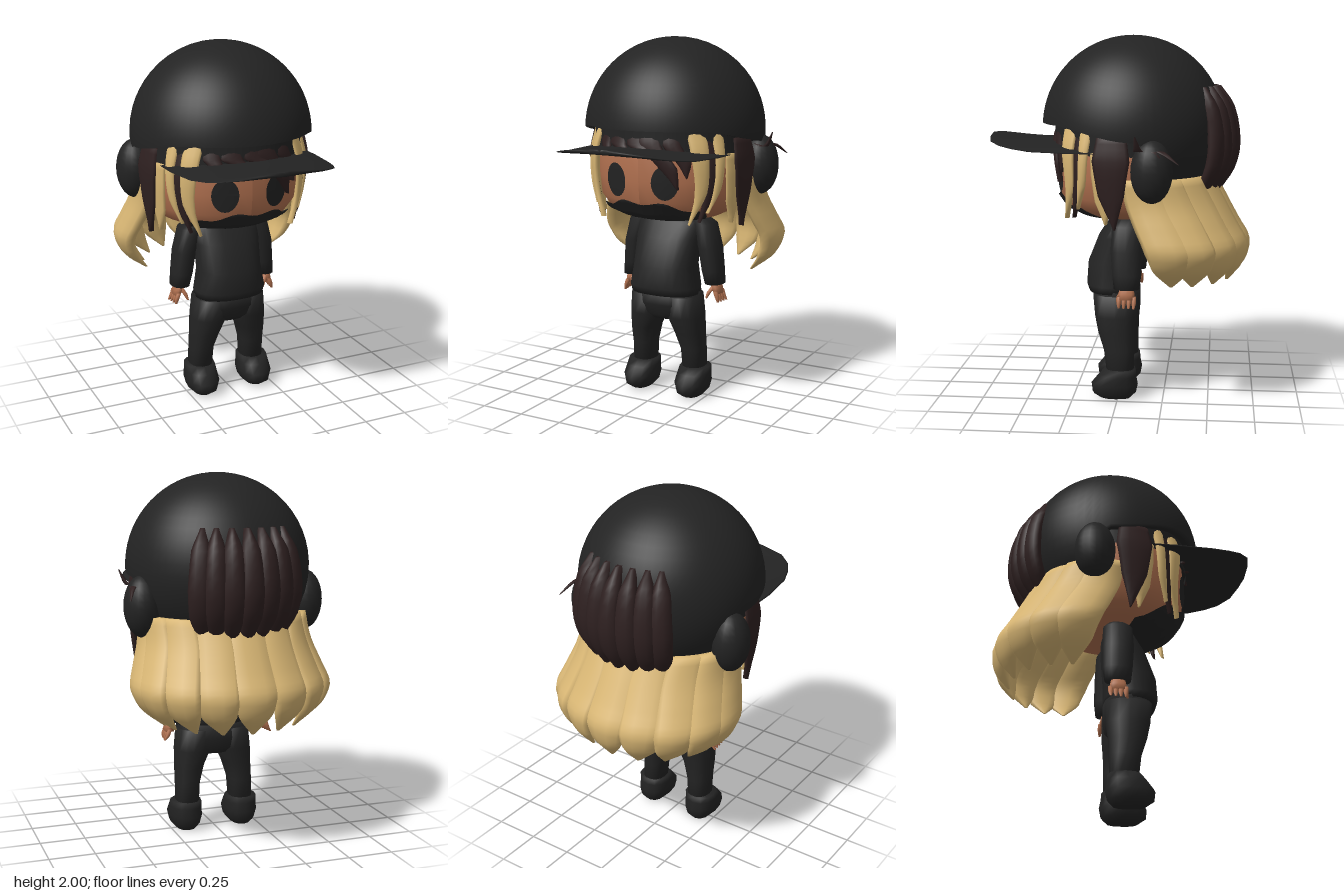
import * as THREE from 'three';
import { ParametricGeometry } from 'three/addons/geometries/ParametricGeometry.js';

const mat = (name, color) => Object.assign(new THREE.MeshStandardMaterial({ color, side: THREE.DoubleSide }), { name });
const black = mat('black cloth', 0x232323);
const brown = mat('dark brown hair', 0x2e2020);
const blond = mat('blond hair', 0xd8b674);
const skin = mat('skin', 0xb0704f);

const V = (x, y, z) => new THREE.Vector3(x, y, z);
const rad = THREE.MathUtils.degToRad;
const step = THREE.MathUtils.smoothstep;

// Skin elliptical sections { c, u, v } (centre and two half axes) into a closed form
function loft(sections, sides = 14, square = 1) {
  const pos = [], idx = [], n = sections.length;
  const pw = (t) => Math.sign(t) * Math.abs(t) ** square;
  for (const { c, u, v } of sections) {
    for (let i = 0; i < sides; i++) {
      const a = (i / sides) * Math.PI * 2;
      pos.push(...c.clone().addScaledVector(u, pw(Math.cos(a))).addScaledVector(v, pw(Math.sin(a))).toArray());
    }
  }
  pos.push(...sections[0].c.toArray(), ...sections[n - 1].c.toArray());
  // pick the winding so that faces look outward
  const { u, v } = sections[1];
  const along = sections[n - 1].c.clone().sub(sections[0].c);
  const flip = u.clone().cross(v).dot(along) < 0;
  const tri = (a, b, c) => (flip ? idx.push(a, c, b) : idx.push(a, b, c));
  for (let i = 0; i < sides; i++) {
    const j = (i + 1) % sides;
    for (let k = 0; k < n - 1; k++) {
      const a = k * sides, b = a + sides;
      tri(a + i, a + j, b + j);
      tri(a + i, b + j, b + i);
    }
    tri(n * sides, j, i);
    tri(n * sides + 1, (n - 1) * sides + i, (n - 1) * sides + j);
  }
  const g = new THREE.BufferGeometry();
  g.setAttribute('position', new THREE.Float32BufferAttribute(pos, 3));
  g.setIndex(idx);
  g.computeVertexNormals();
  return g;
}

// Horizontal sections [x, y, z, rx, rz]
const limb = (rows, sides = 14, square = 0.85) =>
  loft(rows.map(([x, y, z, rx, rz]) => ({ c: V(x, y, z), u: V(rx, 0, 0), v: V(0, 0, rz) })), sides, square);

// Hair lock facing a compass angle (0 = front, 90 = left); rows [point, halfWidth, halfThickness]
function lock(rows, angle, smooth = 12) {
  const path = new THREE.CatmullRomCurve3(rows.map((r) => r[0]));
  const out = V(Math.sin(angle), 0, Math.cos(angle)), side = V(Math.cos(angle), 0, -Math.sin(angle));
  const sections = [];
  for (let i = 0; i <= smooth; i++) {
    const f = (i / smooth) * (rows.length - 1), k = Math.min(Math.floor(f), rows.length - 2);
    const mix = (j) => THREE.MathUtils.lerp(rows[k][j], rows[k + 1][j], f - k);
    sections.push({ c: path.getPoint(i / smooth), u: side.clone().multiplyScalar(mix(1)), v: out.clone().multiplyScalar(mix(2)) });
  }
  return loft(sections, 10);
}

// Head profile [y, radius factor] and the point on its surface
const profile = [[0.985, 0], [1, 0.32], [1.03, 0.65], [1.07, 0.85], [1.14, 0.97], [1.25, 1], [1.42, 1], [1.6, 0.85]];
function headPoint(a, y, off = 0) {
  let k = 0;
  while (k < profile.length - 2 && y > profile[k + 1][0]) k++;
  const [y0, r0] = profile[k], [y1, r1] = profile[k + 1];
  const r = THREE.MathUtils.lerp(r0, r1, THREE.MathUtils.clamp((y - y0) / (y1 - y0), 0, 1));
  return V(Math.sin(a) * (0.42 * r + off), y, -0.05 + Math.cos(a) * (0.39 * r + off));
}

export function createModel() {
  const model = new THREE.Group();
  const add = (name, geometry, material) => {
    const m = new THREE.Mesh(geometry, material);
    m.name = name;
    model.add(m);
    return m;
  };
  const surface = (f, s, t) => new ParametricGeometry((u, v, p) => p.copy(f(u, v)), s, t);

  // Head
  const head = new THREE.LatheGeometry(profile.map(([y, r]) => new THREE.Vector2(r, y)), 40);
  head.scale(0.42, 1, 0.39).translate(0, 0, -0.05);
  head.computeVertexNormals();
  add('head', head, skin);

  // Eyes, wrapped on the face
  for (const s of [-1, 1]) {
    const g = new THREE.CircleGeometry(1, 24), p = g.attributes.position;
    for (let i = 0; i < p.count; i++) {
      const q = headPoint(rad(s * 20.5) + p.getX(i) * 0.175, 1.25 + p.getY(i) * 0.092, 0.01);
      p.setXYZ(i, q.x, q.y, q.z);
    }
    g.computeVertexNormals();
    add('eye', g, black);
  }

  // Face mask with a wavy top edge
  add('mask', surface((u, v) => {
    const a = rad((u - 0.5) * 140), w = (u - 0.5) * 2;
    const top = 1.14 - 0.12 * w * w + 0.012 * Math.cos(w * 14 + 2.5);
    return headPoint(a, THREE.MathUtils.lerp(0.985, top, v), 0.02);
  }, 36, 10), black);

  // Cap: dome that reaches low at the back, band and brim
  add('capDome', surface((u, v) => {
    const a = u * Math.PI * 2, deg = 180 - Math.abs(180 - u * 360);
    const bottom = 1.53 - 0.07 * step(deg, 40, 95) - 0.26 * step(deg, 97, 118);
    const th = Math.min(v / 0.9, 1) * Math.acos((bottom - 1.5) / 0.5);
    const r = 0.5 * Math.sin(th) * (v > 0.9 ? 1 - (v - 0.9) * 1.5 : 1);
    return V(Math.sin(a) * r, 1.5 + 0.5 * Math.cos(th), -0.07 + Math.cos(a) * r);
  }, 64, 20), black);
  add('capBand', surface((u, v) => {
    const p = headPoint(rad((u - 0.5) * 220), 1.4, 0.02);
    return p.setY(1.38 + v * 0.18);
  }, 32, 2), black);
  const brim = loft([[-0.02, 0.43], [0.25, 0.425], [0.45, 0.4], [0.55, 0.365], [0.62, 0.325], [0.68, 0.25], [0.705, 0.13], [0.712, 0.03]]
    .map(([z, w]) => ({ c: V(0, 1.42 + 0.032 * Math.max(0, (z - 0.35) / 0.36) ** 2, z), u: V(w, 0, 0), v: V(0, 0.013, 0) })), 28);
  const bp = brim.attributes.position;
  for (let i = 0; i < bp.count; i++) bp.setY(i, bp.getY(i) - 0.025 * (bp.getX(i) / 0.42) ** 2);
  brim.computeVertexNormals();
  add('capBrim', brim, black);

  // Strands lying on the head; rows [degrees, y, halfWidth]
  const strand = (name, rows, material, off = 0.035) =>
    add(name, lock(rows.map(([d, y, w]) => [headPoint(rad(d), Math.max(y, 1.12), off).setY(y), w, 0.016]), rad(rows[1][0])), material);
  for (const s of [-1, 1]) {
    strand('blondFringe', [[s * 43, 1.54, 0.055], [s * 45, 1.4, 0.05], [s * 46, 1.2, 0.035], [s * 38, 1.03, 0.004]], blond);
    strand('blondFringeThin', [[s * 60, 1.53, 0.04], [s * 60, 1.38, 0.03], [s * 58, 1.22, 0.025], [s * 52, 1.09, 0.004]], blond);
    strand('brownSideLockThin', [[s * 53, 1.5, 0.04], [s * 55, 1.35, 0.045], [s * 53, 1.2, 0.035], [s * 46, 1.04, 0.004]], brown, 0.025);
    strand('brownSideLock', [[s * 82, 1.48, 0.08], [s * 82, 1.36, 0.1], [s * 82, 1.18, 0.07], [s * 84, 1.0, 0.005]], brown, 0.05);
    strand('blondSideLock', [[s * 72, 1.4, 0.05], [s * 74, 1.28, 0.06], [s * 75, 1.14, 0.05], [s * 76, 1.02, 0.005]], blond, 0.02);
    // Lump of covered hair over each ear
    const ear = new THREE.SphereGeometry(1, 18, 14).scale(0.1, 0.165, 0.11);
    add('earCover', ear.translate(s * 0.46, 1.31, -0.2), black);
  }
  for (const [d0, d1, y1, w] of [[-30, -31, 1.39, 0.05], [-16, -14, 1.4, 0.06], [0, 4, 1.39, 0.06], [10, 30, 1.22, 0.065], [26, 36, 1.28, 0.05]]) {
    strand('brownFringe', [[d0, 1.54, w], [d0, 1.45, w], [(d0 + d1) / 2 + 3, (1.45 + y1) / 2, w * 0.8], [d1, y1, 0.004]], brown, 0.025);
  }

  // Loose spikes on the left side
  for (const [x, y, z] of [[0.565, 1.5, -0.12], [0.56, 1.36, -0.34], [0.53, 1.33, -0.27]]) {
    add('spike', lock([[V(0.46, 1.43, -0.15), 0.03, 0.015], [V(0.52, 1.42, (z - 0.15) / 2), 0.025, 0.015], [V(x, y, z), 0.003, 0.003]], rad(90), 6), brown);
  }

  // Brown tuft at the back of the cap
  for (const d of [0, 10, -10, 20, -20, 29, -29]) {
    const a = rad(180 + d), k = 1 - Math.abs(d) / 600;
    const rows = [[1.73, 0.44, 0.015], [1.62, 0.515, 0.05], [1.42, 0.55, 0.062], [1.28, 0.52, 0.06], [1.17, 0.45, 0.035]];
    add('backTuft', lock(rows.map(([y, r, w]) => [V(Math.sin(a) * r * k, y, -0.07 + Math.cos(a) * r * k), w, 0.04]), a), brown);
  }

  // Long wavy blond locks: rows [y, centre z, rx, rz, halfWidth, halfThickness]
  const wave = [[1.26, -0.14, 0.43, 0.34, 0.1, 0.04], [1.13, -0.18, 0.43, 0.36, 0.12, 0.05], [1.0, -0.24, 0.47, 0.37, 0.125, 0.05],
    [0.89, -0.29, 0.5, 0.38, 0.125, 0.05], [0.78, -0.3, 0.46, 0.36, 0.09, 0.04], [0.685, -0.3, 0.37, 0.32, 0.008, 0.008]];
  for (const d of [0, 24, -24, 47, -47, 70, -70, 90, -90]) {
    const a = rad(180 + d);
    add('longLock', lock(wave.map(([y, z, rx, rz, w, t]) => [V(Math.sin(a) * rx, y, z + Math.cos(a) * rz), w, t]), a, 18), blond);
  }

  // Sweater and trousers
  add('torso', limb([[0, 1.03, -0.03, 0.12, 0.07], [0, 0.99, -0.03, 0.19, 0.09], [0, 0.9, 0, 0.19, 0.12],
    [0, 0.75, 0.035, 0.183, 0.145], [0, 0.63, 0.04, 0.205, 0.148], [0, 0.59, 0.035, 0.2, 0.14]], 24), black);
  add('hips', limb([[0, 0.61, 0.025, 0.2, 0.133], [0, 0.53, 0.02, 0.205, 0.128], [0, 0.47, 0.015, 0.17, 0.115], [0, 0.44, 0.01, 0.1, 0.09]], 20), black);

  for (const s of [-1, 1]) {
    add('sleeve', limb([[s * 0.17, 1.02, -0.05, 0.04, 0.05], [s * 0.2, 0.98, -0.05, 0.065, 0.08], [s * 0.235, 0.85, -0.05, 0.062, 0.085],
      [s * 0.25, 0.72, -0.055, 0.058, 0.08], [s * 0.262, 0.645, -0.055, 0.052, 0.07]]), black);
    // Hand with four fingers and a thumb
    add('palm', limb([[s * 0.265, 0.66, -0.055, 0.025, 0.035], [s * 0.275, 0.62, -0.055, 0.026, 0.045], [s * 0.285, 0.59, -0.055, 0.02, 0.045]], 10), skin);
    for (let i = 0; i < 4; i++) {
      const z = -0.015 - i * 0.027;
      add('finger', limb([[s * 0.283, 0.605, z, 0.013, 0.013], [s * 0.295, 0.57, z, 0.012, 0.012], [s * (0.3 + i * 0.004), 0.545, z, 0.006, 0.006]], 8), skin);
    }
    add('thumb', limb([[s * 0.265, 0.63, -0.03, 0.014, 0.014], [s * 0.245, 0.595, -0.01, 0.012, 0.012], [s * 0.235, 0.565, 0, 0.006, 0.006]], 8), skin);

    add('leg', limb([[s * 0.105, 0.58, 0.02, 0.1, 0.125], [s * 0.118, 0.46, 0.015, 0.1, 0.118], [s * 0.14, 0.37, 0.01, 0.08, 0.103],
      [s * 0.155, 0.27, -0.005, 0.067, 0.085], [s * 0.16, 0.13, -0.012, 0.064, 0.075]]), black);
    add('shoe', limb([[s * 0.165, 0.165, -0.01, 0.086, 0.088], [s * 0.165, 0.13, 0.005, 0.088, 0.105], [s * 0.165, 0.08, 0.02, 0.093, 0.13],
      [s * 0.165, 0.03, 0.022, 0.08, 0.122], [s * 0.165, 0, 0.015, 0.052, 0.085]], 12), black);
  }
  return model;
}
